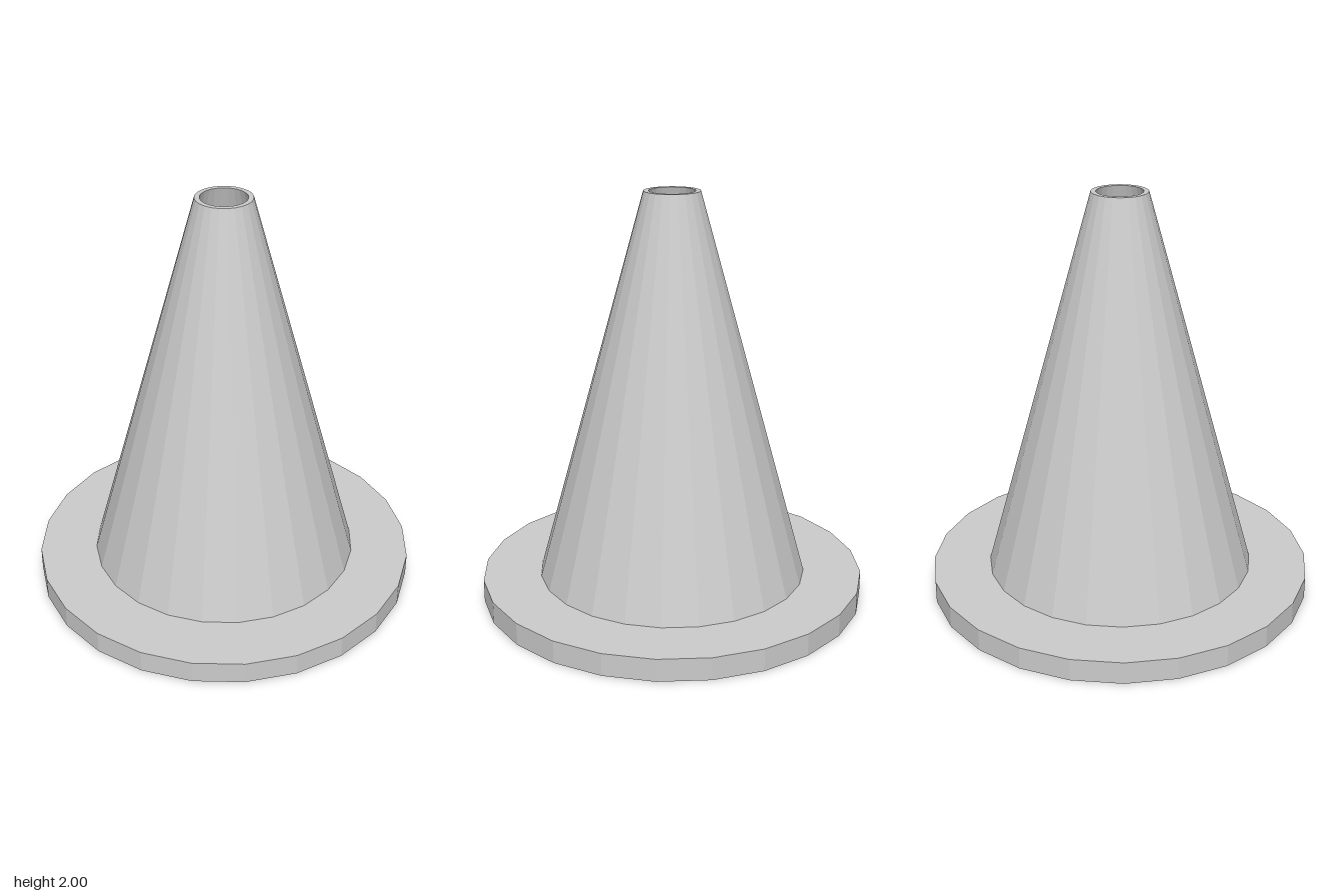
import * as THREE from 'three';

const SIDES = 24;
const BASE_RADIUS = 0.944;
const BASE_HEIGHT = 0.11;
const HEIGHT = 2;
const WALL = 0.024;

export function createModel() {
  const group = new THREE.Group();
  group.name = 'trafficCone';
  const material = new THREE.MeshStandardMaterial({ color: 0xcccccc, flatShading: true });

  // Flat round foot, closed underneath
  const base = new THREE.Mesh(
    new THREE.CylinderGeometry(BASE_RADIUS, BASE_RADIUS, BASE_HEIGHT, SIDES),
    material
  );
  base.name = 'base';
  base.position.y = BASE_HEIGHT / 2;
  group.add(base);

  // Hollow tapered body: up the outside, across the rim, down the inside
  const bottomRadius = 0.66;
  const topRadius = 0.134;
  const profile = [
    [bottomRadius, BASE_HEIGHT],
    [topRadius, HEIGHT],
    [topRadius - WALL, HEIGHT],
    [bottomRadius - WALL, BASE_HEIGHT],
  ].map(([r, y]) => new THREE.Vector2(r, y));
  const body = new THREE.Mesh(new THREE.LatheGeometry(profile, SIDES), material);
  body.name = 'coneBody';
  group.add(body);

  return group;
}
